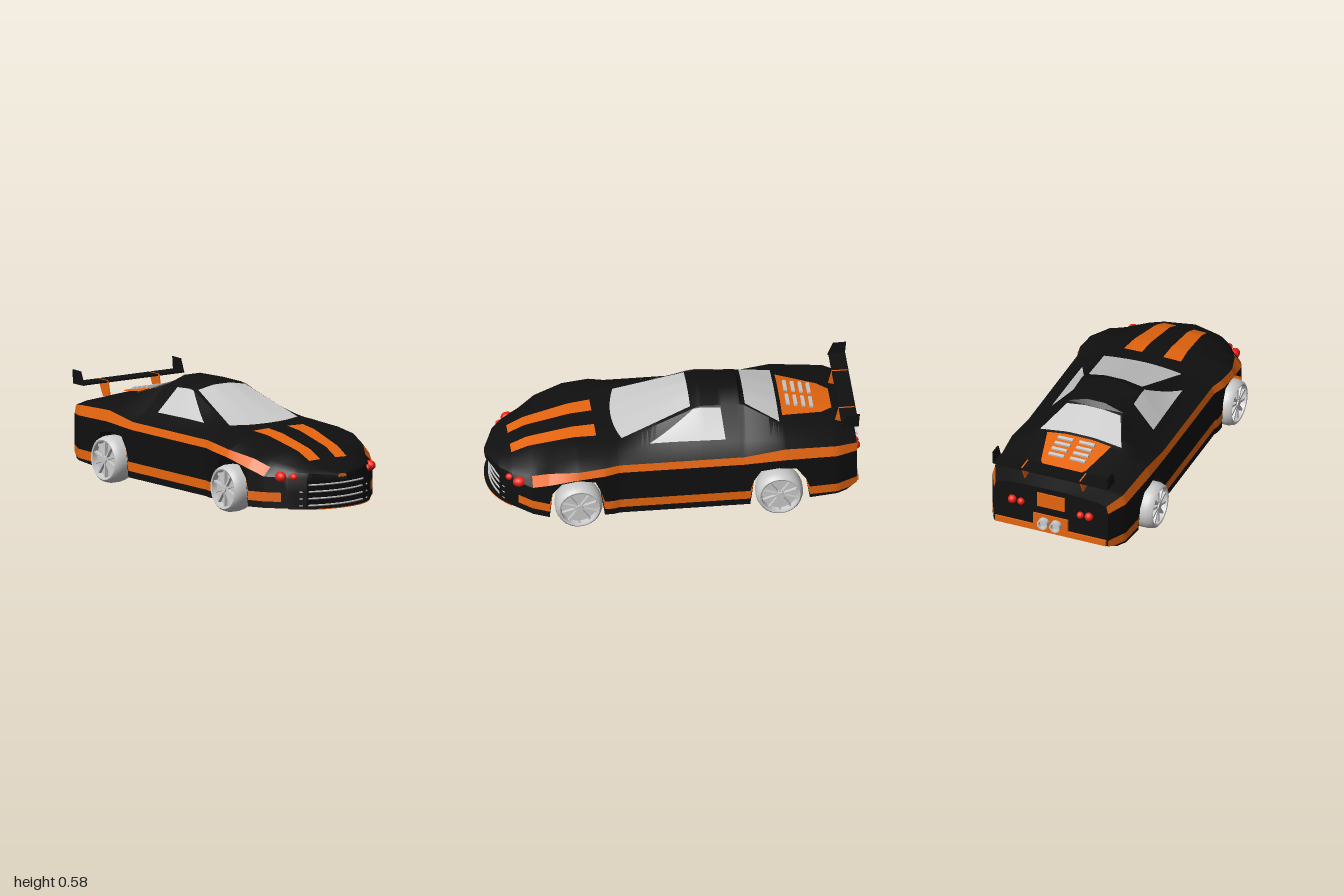
import * as THREE from 'three';
import { toCreasedNormals } from 'three/addons/utils/BufferGeometryUtils.js';

const paint = (color) => new THREE.MeshStandardMaterial({ color, side: THREE.DoubleSide });
const black = paint(0x101010), orange = paint(0xe8660f), red = paint(0xee2010), grey = paint(0xcccccc);

// Flank along z: half width, stripe bottom y, stripe top x and y
const FLANK = [[1, .03, .21, .025, .225], [.94, .19, .215, .18, .24], [.88, .27, .215, .25, .245],
  [.78, .36, .22, .315, .265], [.695, .4, .255, .36, .305], [.54, .425, .295, .41, .335], [.4, .425, .31, .41, .352],
  [.32, .4, .31, .39, .352], [-.35, .4, .31, .39, .352], [-.57, .405, .325, .39, .385], [-.85, .385, .315, .37, .37],
  [-.96, .33, .305, .32, .35]];
// Upper body along z: cabin base x and y, roof edge x and y, crown y
const UPPER = [[1, .02, .23, .012, .232, .233], [.94, .15, .25, .1, .257, .258], [.88, .21, .265, .13, .28, .282],
  [.78, .27, .29, .15, .325, .33], [.54, .33, .372, .18, .378, .38], [.32, .315, .388, .24, .393, .398],
  [-.1, .3, .395, .17, .535, .557], [-.14, .3, .395, .165, .545, .58], [-.35, .3, .395, .16, .535, .572],
  [-.37, .3, .395, .16, .53, .545], [-.57, .33, .405, .24, .445, .468], [-.85, .29, .387, .17, .402, .41],
  [-.96, .25, .365, .15, .372, .375]];
// Underside height along z, rising over the wheel arches and under the nose
const UNDER = [[1, .2], [.94, .2], [.939, .05], [.695, .05], [.68, .2], [.63, .265], [.54, .28], [.45, .265],
  [.42, .2], [.4, .05], [-.38, .05], [-.4, .2], [-.44, .262], [-.535, .275], [-.63, .262], [-.68, .19],
  [-.7, .065], [-.9, .075], [-.96, .1]];

function sample(table, z) {
  let i = 0;
  while (i < table.length - 2 && z < table[i + 1][0]) i++;
  const a = table[i], b = table[i + 1], t = (z - a[0]) / (b[0] - a[0]);
  return a.map((v, k) => v + (b[k] - v) * t);
}

// Half cross-section from the floor centre, round the left side, to the crown
function section(z) {
  const [, ax, ay, bx, by] = sample(FLANK, z), [, cx, cy, ex, ey, top] = sample(UPPER, z);
  const u = sample(UNDER, z)[1], up = (y) => Math.max(y, u), w = Math.min(ax, .41);
  return [[0, u], [w, u], [w, up(.085)], [w, up(.135)], [ax, up(ay)], [bx, by], [cx, cy], [ex, ey],
    [ex * .32, top], [0, top]];
}

// Height of the upper body at x, z
function deck(x, z) {
  const s = section(z), ax = Math.abs(x);
  for (let j = 5; j < 9; j++) {
    const [x0, y0] = s[j], [x1, y1] = s[j + 1];
    if (ax >= x1) return y0 + (y1 - y0) * Math.max(0, (ax - x0) / (x1 - x0));
  }
  return s[9][1];
}

function add(parent, name, geometry, material, x = 0, y = 0, z = 0) {
  const mesh = new THREE.Mesh(geometry, material);
  mesh.name = name;
  mesh.position.set(x, y, z);
  parent.add(mesh);
  return mesh;
}
const box = (w, h, d) => new THREE.BoxGeometry(w, h, d);

function buildBody(car) {
  const zs = [...FLANK, ...UPPER, ...UNDER].map((k) => k[0]);
  for (let z = .975; z > -.95; z -= .025) zs.push(+z.toFixed(3));
  const stations = [...new Set(zs)].sort((a, b) => b - a);
  const shell = [], trim = [];
  for (let i = 0; i < stations.length - 1; i++) {
    const z0 = stations[i], z1 = stations[i + 1], s0 = section(z0), s1 = section(z1);
    for (let j = 0; j < 9; j++) {
      const isTrim = (j === 2 && z0 < .87) || (j === 4 && z0 <= .78 && z0 > -.93)
        || (j === 0 && z0 > .69 && z0 < .94);
      const a = [...s0[j], z0], b = [...s0[j + 1], z0], c = [...s1[j + 1], z1], d = [...s1[j], z1];
      const out = isTrim ? trim : shell;
      for (const p of [a, d, c, a, c, b]) out.push(...p);
      for (const p of [a, c, d, a, b, c]) out.push(-p[0], p[1], p[2]);
    }
  }
  for (const [name, list, material] of [['bodyShell', shell, black], ['sideStripes', trim, orange]]) {
    const g = new THREE.BufferGeometry();
    g.setAttribute('position', new THREE.Float32BufferAttribute(list, 3));
    add(car, name, toCreasedNormals(g, .5), material);
  }
  // Flat tail closing the shell
  const half = section(-.96);
  const outline = [...half, ...half.slice(1, -1).reverse().map(([x, y]) => [-x, y])];
  const tail = new THREE.ShapeGeometry(new THREE.Shape(outline.map(([x, y]) => new THREE.Vector2(x, y))));
  tail.rotateY(Math.PI);
  add(car, 'tailPanel', tail, black, 0, 0, -.96);
}

// Panel lying on the upper body: four [x, z] corners, optional bowed last edge
function panel(car, name, corners, material, lift = .007, bow = 0) {
  const [a, b, c, d] = corners, n = 16;
  const g = new THREE.PlaneGeometry(1, 1, n, n), p = g.attributes.position;
  for (let i = 0; i < p.count; i++) {
    const u = p.getX(i) + .5, v = .5 - p.getY(i);
    const mix = (k) => (a[k] * (1 - u) + b[k] * u) * (1 - v) + (d[k] * (1 - u) + c[k] * u) * v;
    const x = mix(0), z = mix(1) + bow * v * (1 - (2 * u - 1) ** 2);
    p.setXYZ(i, x, deck(x, z) + lift, z);
  }
  g.computeVertexNormals();
  add(car, name, g, material);
}
const trapezoid = (w0, z0, w1, z1) => [[-w0, z0], [w0, z0], [w1, z1], [-w1, z1]];

// Lathe with crisp edges from [radius, height] points
const turned = (points, sides) => toCreasedNormals(
  new THREE.LatheGeometry(points.map(([r, h]) => new THREE.Vector2(r, h)), sides), .6);

function buildWheel(car, name, side, z) {
  const wheel = new THREE.Group();
  wheel.name = name;
  add(wheel, 'tyreAndRim', turned([[0, -.035], [.09, -.035], [.095, -.067], [.108, -.067], [.122, -.045],
    [.127, -.02], [.127, .03], [.118, .058], [.108, .067], [.1, .064], [.095, .035], [0, .035]], 28), grey);
  for (let i = 0; i < 10; i++) {
    const g = box(.08, .018, .011);
    g.translate(.055, 0, 0);
    add(wheel, 'spoke', g, grey, 0, .048, 0).rotation.y = i * Math.PI / 5;
  }
  add(wheel, 'hub', new THREE.CylinderGeometry(.02, .024, .026, 16), grey, 0, .05, 0);
  add(wheel, 'brake', box(.07, .02, .035), grey, .03, -.043, 0);
  wheel.rotation.z = -side * Math.PI / 2;
  wheel.position.set(side * .388, .127, z);
  car.add(wheel);
}

export function createModel() {
  const car = new THREE.Group();
  car.name = 'sportsCar';
  buildBody(car);

  // Glass, bonnet stripes and engine cover
  panel(car, 'windscreen', trapezoid(.155, -.085, .225, .29), grey, .007, .035);
  panel(car, 'rearWindow', trapezoid(.235, -.555, .155, -.378), grey);
  panel(car, 'engineCover', trapezoid(.13, -.79, .185, -.575), orange, .012);
  panel(car, 'engineCoverTail', trapezoid(.085, -.85, .13, -.79), orange, .012);
  for (const s of [-1, 1]) {
    panel(car, 'sideWindow', [[s * .295, -.26], [s * .175, -.245], [s * .175, -.1], [s * .29, .15]], grey);
    panel(car, 'bonnetStripe', [[s * .062, .42], [s * .165, .42], [s * .123, .87], [s * .05, .87]], orange);
    for (let i = 0; i < 4; i++) {
      const z = -.615 - i * .042;
      add(car, 'engineSlat', box(.088, .012, .018), grey, s * .062, deck(.062, z) + .016, z).rotation.x = -.2;
    }
  }

  // Grille bars and front splitter
  for (const [w, y, end] of [[.222, .065, .915], [.222, .102, .915], [.222, .139, .915], [.18, .176, .94]]) {
    const curve = new THREE.QuadraticBezierCurve3(new THREE.Vector3(-w, y, end),
      new THREE.Vector3(0, y, 1.95 - end), new THREE.Vector3(w, y, end));
    add(car, 'grilleBar', new THREE.TubeGeometry(curve, 16, .005, 6), grey);
  }
  const lip = new THREE.Shape();
  lip.moveTo(-.27, -.88);
  lip.quadraticCurveTo(-.17, -1, 0, -1);
  lip.quadraticCurveTo(.17, -1, .27, -.88);
  for (const [name, y, depth, material] of [['splitter', .05, .01, black], ['splitterPan', .045, .005, orange]]) {
    const g = new THREE.ExtrudeGeometry(lip, { depth, bevelEnabled: false });
    add(car, name, g.rotateX(-Math.PI / 2).rotateY(0), material, 0, y, 0);
  }

  // Lamps at both ends
  for (const s of [-1, 1]) {
    for (const [name, x, y, z, r, stretch] of [['headlamp', .295, .22, .845, .028, 1.3],
      ['headlamp', .243, .22, .89, .019, 1.3], ['tailLamp', .222, .265, -.965, .024, 1],
      ['tailLamp', .172, .262, -.965, .02, 1]]) {
      add(car, name, new THREE.SphereGeometry(r, 16, 12), red, s * x, y, z).scale.z = stretch;
    }
  }

  // Tail trim and exhausts
  add(car, 'rearLip', box(.64, .035, .012), orange, 0, .12, -.963);
  add(car, 'exhaustPanel', box(.2, .09, .012), orange, 0, .165, -.962);
  add(car, 'platePanel', box(.16, .085, .01), orange, 0, .3, -.961);
  for (const s of [-1, 1]) {
    const pipe = turned([[.02, -.02], [.03, -.02], [.03, .02], [.021, .02], [.02, 0], [0, 0]], 18);
    add(car, 'exhaust', pipe, grey, s * .036, .165, -.98).rotation.x = -Math.PI / 2;
  }

  // Rear wing, then the wheels
  const plate = (points) => {
    const shape = new THREE.Shape(points.map(([z, y]) => new THREE.Vector2(-z, y)));
    const g = new THREE.ExtrudeGeometry(shape, { depth: .008, bevelEnabled: false });
    return g.translate(0, 0, -.004).rotateY(Math.PI / 2);
  };
  add(car, 'wingBlade', box(.665, .01, .09), black, 0, .47, -.925);
  for (const s of [-1, 1]) {
    add(car, 'wingEndPlate', plate([[-.875, .465], [-.968, .465], [-.975, .54], [-.905, .538]]), black, s * .33);
    add(car, 'wingStrut', plate([[-.86, .395], [-.92, .385], [-.965, .476], [-.88, .476]]), orange, s * .168);
    buildWheel(car, 'frontWheel', s, .54);
    buildWheel(car, 'rearWheel', s, -.535);
  }
  return car;
}
